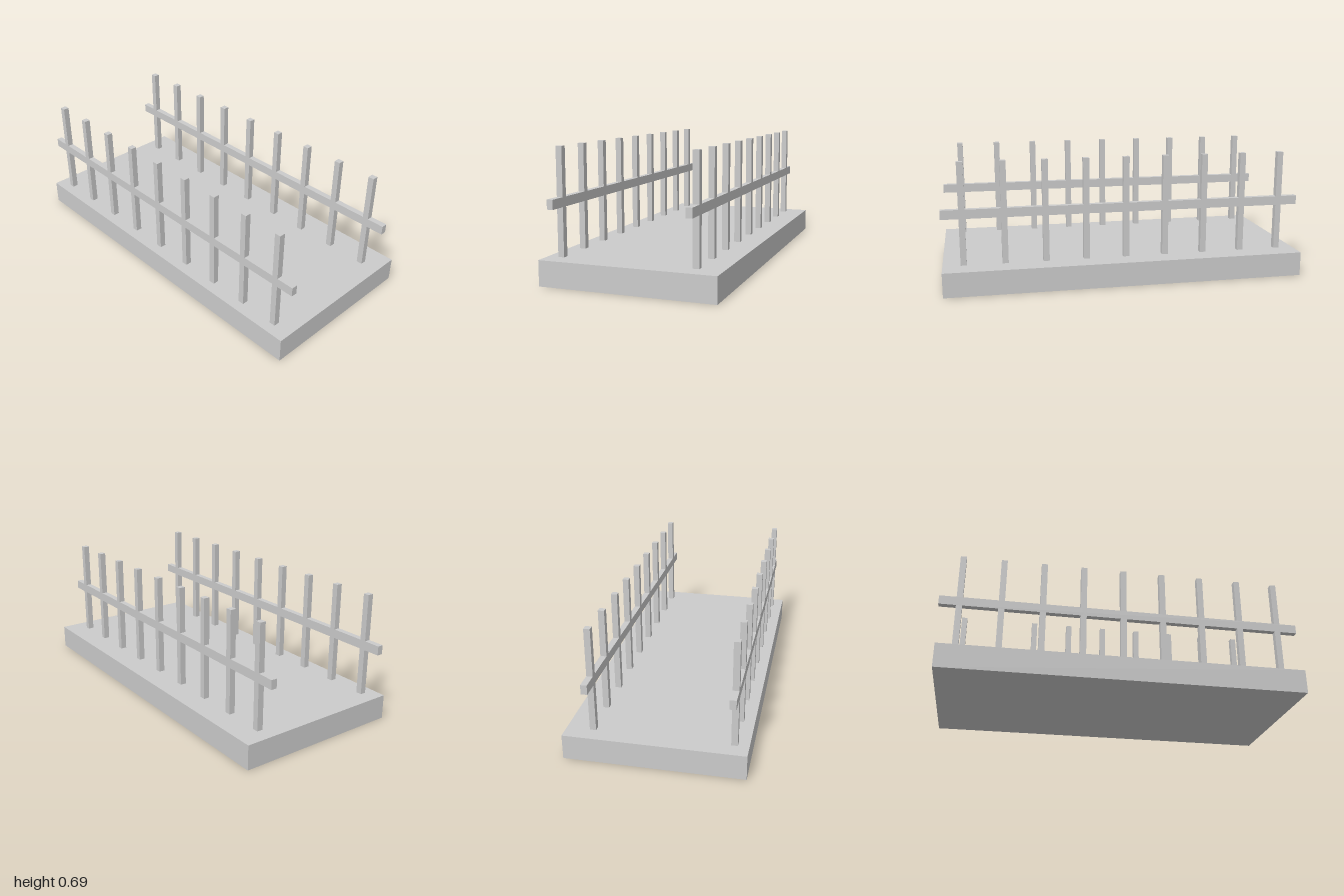
import * as THREE from 'three';

const material = new THREE.MeshStandardMaterial({ color: 0xcccccc, flatShading: true });

// Box given by its centre in x and z and by its bottom height
function box(name, w, h, d, x, y, z) {
  const mesh = new THREE.Mesh(new THREE.BoxGeometry(w, h, d), material);
  mesh.name = name;
  mesh.position.set(x, y + h / 2, z);
  return mesh;
}

const DECK_TOP = 0.134;
const POST_TOP = 0.695;
const THICKNESS = 0.033;
const POSTS = 9;
const SPACING = 0.2225;

// One row of upright posts joined by a horizontal rail
function railing(name, z) {
  const group = new THREE.Group();
  group.name = name;
  group.position.z = z;
  for (let i = 0; i < POSTS; i++) {
    const x = (i - (POSTS - 1) / 2) * SPACING - 0.002;
    group.add(box('post', THICKNESS, POST_TOP - DECK_TOP, THICKNESS, x, DECK_TOP, 0));
  }
  group.add(box('rail', 2, 0.05, THICKNESS, 0, 0.39, 0));
  return group;
}

export function createModel() {
  const model = new THREE.Group();
  model.name = 'railedPlatform';

  // Solid slab
  model.add(box('deck', 1.99, DECK_TOP, 0.934, 0.005, 0, 0));

  // Railings along both long edges
  model.add(railing('frontRailing', 0.393));
  model.add(railing('backRailing', -0.329));
  return model;
}
